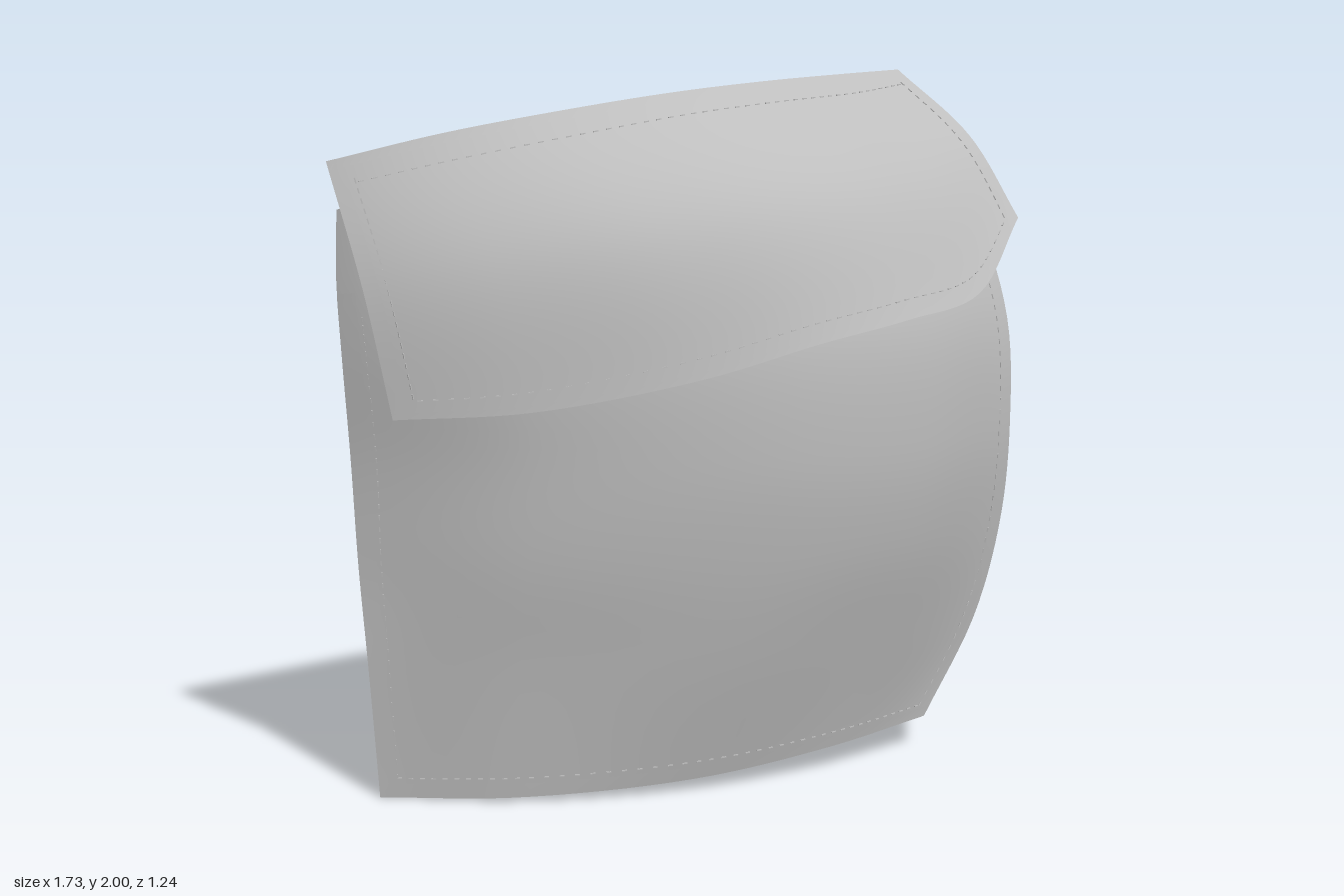
import * as THREE from 'three';

const fabric = new THREE.MeshStandardMaterial({ color: 0xbebebe, side: THREE.DoubleSide });
fabric.name = 'grey fabric';

// Smooth surface through rows of points: u runs left to right, v from bottom to top
function makeSurface(rows) {
  const curves = rows.map(r => new THREE.CatmullRomCurve3(r.map(p => new THREE.Vector3(...p))));
  const point = (u, v) => new THREE.CatmullRomCurve3(curves.map(c => c.getPoint(u))).getPoint(v);
  const normal = (u, v) => {
    const e = 0.004, c = x => Math.min(1, Math.max(0, x));
    const du = point(c(u + e), v).sub(point(c(u - e), v));
    const dv = point(u, c(v + e)).sub(point(u, c(v - e)));
    return du.cross(dv).normalize();
  };
  return (u, v, lift = 0) => lift ? point(u, v).addScaledVector(normal(u, v), lift) : point(u, v);
}

// Mesh of a rectangular range of a surface, optionally lifted off it
function panel(name, surf, [u0, u1, nu], [v0, v1, nv], lift = 0) {
  const pos = [], index = [];
  for (let j = 0; j <= nv; j++) for (let i = 0; i <= nu; i++) {
    pos.push(...surf(u0 + (u1 - u0) * i / nu, v0 + (v1 - v0) * j / nv, lift).toArray());
    if (i < nu && j < nv) {
      const a = j * (nu + 1) + i, b = a + 1, c = a + nu + 1, d = c + 1;
      index.push(a, b, d, a, d, c);
    }
  }
  const g = new THREE.BufferGeometry();
  g.setAttribute('position', new THREE.Float32BufferAttribute(pos, 3));
  g.setIndex(index);
  g.computeVertexNormals();
  const mesh = new THREE.Mesh(g, fabric);
  mesh.name = name;
  return mesh;
}

// Row of short thread dashes between two surface coordinates
function stitches(name, surf, from, to, count) {
  const group = new THREE.Group();
  group.name = name;
  const geo = new THREE.BoxGeometry(0.003, 0.003, 0.014);
  for (let i = 0; i < count; i++) {
    const at = t => surf(from[0] + (to[0] - from[0]) * t, from[1] + (to[1] - from[1]) * t, 0.005);
    const dash = new THREE.Mesh(geo, fabric);
    dash.position.copy(at((i + 0.4) / count));
    dash.lookAt(at((i + 0.6) / count));
    group.add(dash);
  }
  return group;
}

export function createModel() {
  const model = new THREE.Group();
  model.name = 'pocket';

  // Curved pocket body
  const body = makeSurface([
    [[-0.55, 0, -0.62], [-0.35, 0.015, -0.28], [0, 0.04, 0.07], [0.35, 0.075, 0.29], [0.7, 0.1, 0.42]],
    [[-0.6, 0.4, -0.6], [-0.4, 0.42, -0.22], [0, 0.43, 0.22], [0.42, 0.42, 0.43], [0.83, 0.4, 0.51]],
    [[-0.635, 0.7, -0.59], [-0.43, 0.71, -0.16], [0, 0.72, 0.31], [0.42, 0.72, 0.52], [0.86, 0.7, 0.57]],
    [[-0.68, 1, -0.56], [-0.44, 1, -0.11], [0, 1, 0.36], [0.42, 1, 0.56], [0.84, 1, 0.6]],
    [[-0.75, 1.3, -0.51], [-0.5, 1.31, -0.13], [0, 1.33, 0.35], [0.42, 1.34, 0.54], [0.84, 1.3, 0.58]],
    [[-0.8, 1.5, -0.47], [-0.52, 1.53, -0.17], [0, 1.56, 0.25], [0.42, 1.58, 0.43], [0.84, 1.58, 0.48]],
    [[-0.84, 1.68, -0.42], [-0.5, 1.74, -0.22], [0, 1.8, 0.06], [0.42, 1.83, 0.21], [0.85, 1.86, 0.31]],
  ]);
  model.add(
    panel('pocketBody', body, [0, 1, 40], [0, 1, 40]),
    panel('bodyLeftHem', body, [0.972, 1, 2], [0, 0.8, 30], 0.004),
    panel('bodyRightHem', body, [0, 0.028, 2], [0, 0.8, 30], 0.004),
    panel('bodyBottomHem', body, [0, 1, 30], [0, 0.018, 2], 0.004),
    stitches('bodyLeftStitches', body, [0.965, 0.02], [0.965, 0.75], 40),
    stitches('bodyRightStitches', body, [0.035, 0.02], [0.035, 0.75], 40),
    stitches('bodyBottomStitches', body, [0.03, 0.025], [0.97, 0.025], 45),
  );

  // Flap: lower and upper edges, with a bulged row between them
  const lower = [[-0.73, 1.14, -0.355], [-0.5, 1.155, -0.08], [-0.2, 1.23, 0.24], [0.05, 1.31, 0.44],
    [0.3, 1.355, 0.56], [0.59, 1.4, 0.618], [0.84, 1.59, 0.605]];
  const upper = [[-0.87, 1.8, -0.42], [-0.6, 1.86, -0.285], [-0.3, 1.91, -0.14], [0, 1.95, -0.01],
    [0.3, 1.975, 0.085], [0.6, 1.99, 0.145], [0.86, 2, 0.19]];
  const bulge = [[-0.01, 0.01, 0.02], [-0.015, 0.02, 0.045], [-0.02, 0.03, 0.065], [-0.02, 0.035, 0.07],
    [-0.015, 0.035, 0.07], [-0.01, 0.03, 0.06], [0, 0.02, 0.04]];
  const middle = lower.map((p, i) => p.map((n, k) => (n + upper[i][k]) / 2 + bulge[i][k]));
  const flap = makeSurface([lower, middle, upper]);
  model.add(
    panel('flap', flap, [0, 1, 48], [0, 1, 24]),
    panel('flapTopHem', flap, [0, 1, 48], [0.965, 1, 2], 0.004),
    panel('flapBottomHem', flap, [0, 1, 48], [0, 0.025, 2], 0.004),
    panel('flapLeftHem', flap, [0.98, 1, 2], [0, 1, 20], 0.004),
    panel('flapRightHem', flap, [0, 0.02, 2], [0, 1, 20], 0.004),
    stitches('flapTopStitches', flap, [0.03, 0.9], [0.97, 0.9], 50),
    stitches('flapBottomStitches', flap, [0.03, 0.07], [0.97, 0.07], 50),
    stitches('flapLeftStitches', flap, [0.97, 0.07], [0.97, 0.93], 18),
    stitches('flapRightStitches', flap, [0.03, 0.07], [0.03, 0.93], 22),
  );
  return model;
}
